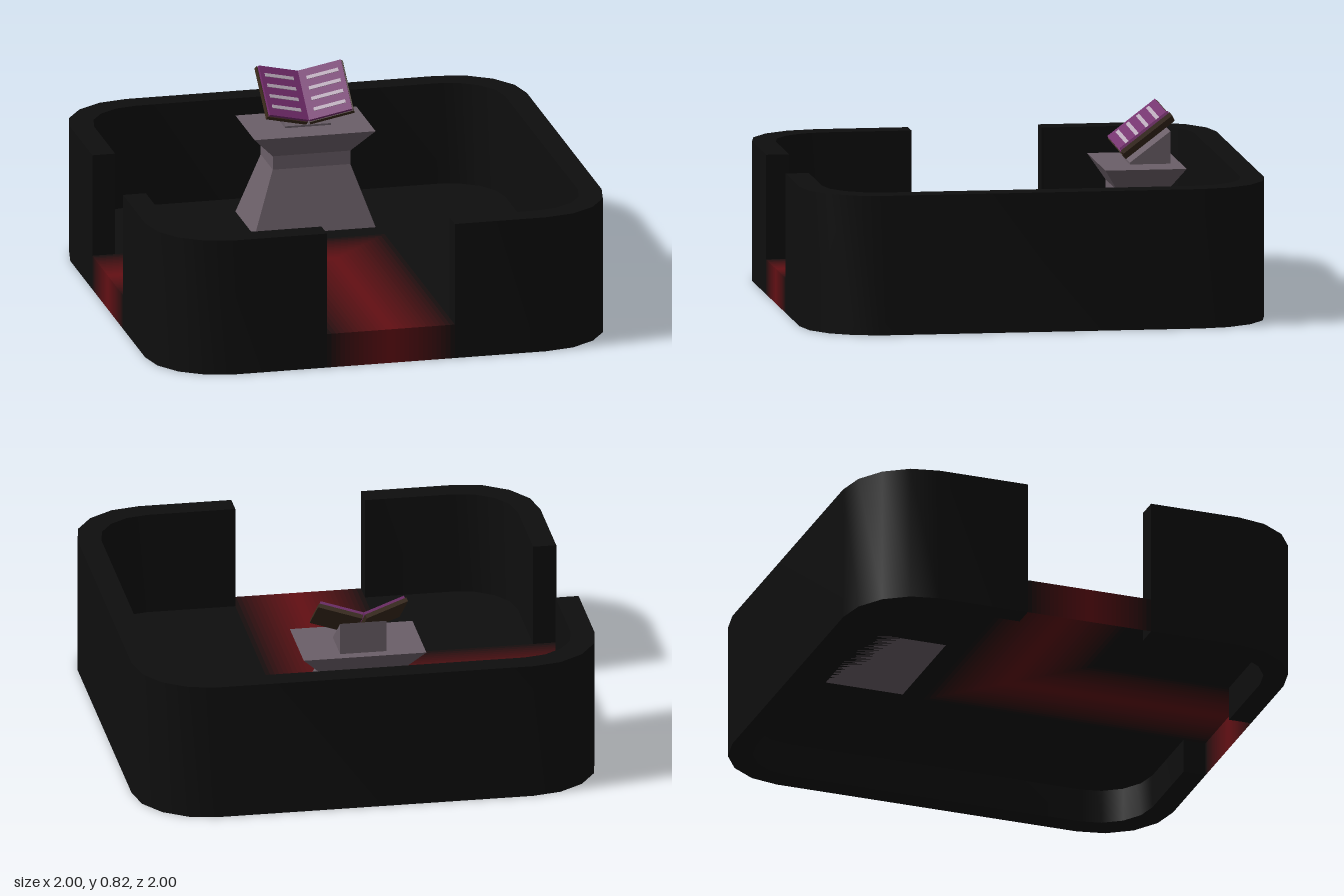
import * as THREE from 'three';
import { mergeGeometries, toCreasedNormals } from 'three/addons/utils/BufferGeometryUtils.js';

const FLOOR = 0.15, WALL = 0.6, GAP = 0.28;
const BLACK = 0x0e0e0e, STONE = 0x6b5f68;

function part(parent, name, geometry, color, doubleSided = false) {
  const material = new THREE.MeshStandardMaterial({ color });
  if (doubleSided) material.side = THREE.DoubleSide;
  const mesh = new THREE.Mesh(geometry, material);
  mesh.name = name;
  parent.add(mesh);
  return mesh;
}

// Plan shapes are drawn as (x, -z) and laid flat.
const plan = (points) => new THREE.Shape(points.map(([x, v]) => new THREE.Vector2(x, v)));
const flat = (points, y) => new THREE.ShapeGeometry(plan(points)).rotateX(-Math.PI / 2).translate(0, y, 0);

// Run along a rounded square, through the corners at the given quarter turns.
function run(half, radius, quarters, start, end) {
  const points = [start];
  for (const q of quarters) {
    const mid = (q + 0.5) * Math.PI / 2;
    const cx = Math.sign(Math.cos(mid)) * (half - radius);
    const cv = Math.sign(Math.sin(mid)) * (half - radius);
    for (let i = 0; i <= 4; i++) {
      const a = (q + i / 4) * Math.PI / 2;
      points.push([cx + radius * Math.cos(a), cv + radius * Math.sin(a)]);
    }
  }
  return [...points, end];
}

// Walls and the dark floor areas, split by the two doorways.
function addRoom(group) {
  const sections = [
    { name: 'longWall', quarters: [-1, 0, 1], ends: (h) => [[GAP, -h], [-h, GAP]], corner: [GAP, GAP] },
    { name: 'cornerWall', quarters: [2], ends: (h) => [[-h, -GAP], [-GAP, -h]], corner: [-GAP, -GAP] },
  ];
  for (const { name, quarters, ends, corner } of sections) {
    const outer = run(1, 0.32, quarters, ...ends(1));
    const inner = run(0.9, 0.24, quarters, ...ends(0.9));
    const wall = new THREE.ExtrudeGeometry(plan([...outer, ...inner.slice().reverse()]),
      { depth: WALL, bevelEnabled: false }).rotateX(-Math.PI / 2);
    part(group, name, toCreasedNormals(wall, 0.6), BLACK);
    part(group, name + 'Floor', flat([...inner, corner], FLOOR), BLACK, true);
  }
}

// Glowing L-shaped path: narrow bands fading from the middle, turned down at the doorways.
function addPath(group) {
  const path = new THREE.Group();
  path.name = 'glowingPath';
  group.add(path);
  const bands = 28, w = 2 * GAP / bands;
  const dark = new THREE.Color(BLACK), red = new THREE.Color(0x640f14);
  for (let i = 0; i < bands; i++) {
    const a = -GAP + i * w, b = a + w, mid = a + w / 2;
    const top = flat([[-1, a], [a, a], [a, -1], [b, -1], [b, b], [-1, b]], FLOOR);
    const front = new THREE.PlaneGeometry(w, FLOOR).translate(mid, FLOOR / 2, 1);
    const side = new THREE.PlaneGeometry(w, FLOOR).rotateY(-Math.PI / 2).translate(-1, FLOOR / 2, -mid);
    const color = dark.clone().lerp(red, 1 - Math.abs(mid) / GAP);
    part(path, 'pathBand', mergeGeometries([top, front, side]), color, true);
  }
}

// Waisted rectangular pedestal: a box whose rows are resized.
function addPedestal(group) {
  const rows = [[0.58, 0.265, 0.175], [0.48, 0.17, 0.11], [0.42, 0.17, 0.11], [FLOOR, 0.265, 0.175]];
  const geometry = new THREE.BoxGeometry(2, 3, 2, 1, 3, 1);
  const p = geometry.attributes.position;
  for (let i = 0; i < p.count; i++) {
    const [y, hx, hz] = rows[Math.round(1.5 - p.getY(i))];
    p.setXYZ(i, p.getX(i) * hx, y, p.getZ(i) * hz - 0.555);
  }
  part(group, 'pedestal', toCreasedNormals(geometry, 0.1), STONE);

  // Wedge under the book, drawn in side profile (z, y)
  const wedge = new THREE.ExtrudeGeometry(plan([[-0.685, 0.58], [-0.51, 0.58], [-0.51, 0.588], [-0.685, 0.72]]),
    { depth: 0.2, bevelEnabled: false }).rotateY(-Math.PI / 2).translate(0.1, 0, 0);
  part(group, 'bookRest', wedge, STONE);
}

// Open book: two hinged halves lying on the tilted rest.
function addBook(group) {
  const book = new THREE.Group();
  book.name = 'book';
  book.position.set(0, 0.693, -0.594);
  book.rotation.x = -0.92;
  group.add(book);
  for (const s of [-1, 1]) {
    const half = new THREE.Group();
    half.name = s > 0 ? 'leftHalf' : 'rightHalf';
    half.rotation.y = -s * 0.33;
    book.add(half);
    const slab = (name, length, height, depth, x, y, z, color) =>
      part(half, name, new THREE.BoxGeometry(length, height, depth).translate(s * x, y, z), color);
    slab('cover', 0.195, 0.265, 0.018, 0.0975, 0, -0.021, 0x3a2a1c);
    slab('pages', 0.19, 0.258, 0.012, 0.095, 0, -0.006, 0x722c6c);
    for (let i = 0; i < 4; i++)
      slab('textLine', 0.14, 0.017, 0.003, 0.1, (i - 1.5) * 0.055, 0.001, 0xb8a8b8);
  }
}

export function createModel() {
  const group = new THREE.Group();
  group.name = 'lecternRoom';
  addRoom(group);
  addPath(group);
  addPedestal(group);
  addBook(group);
  return group;
}
